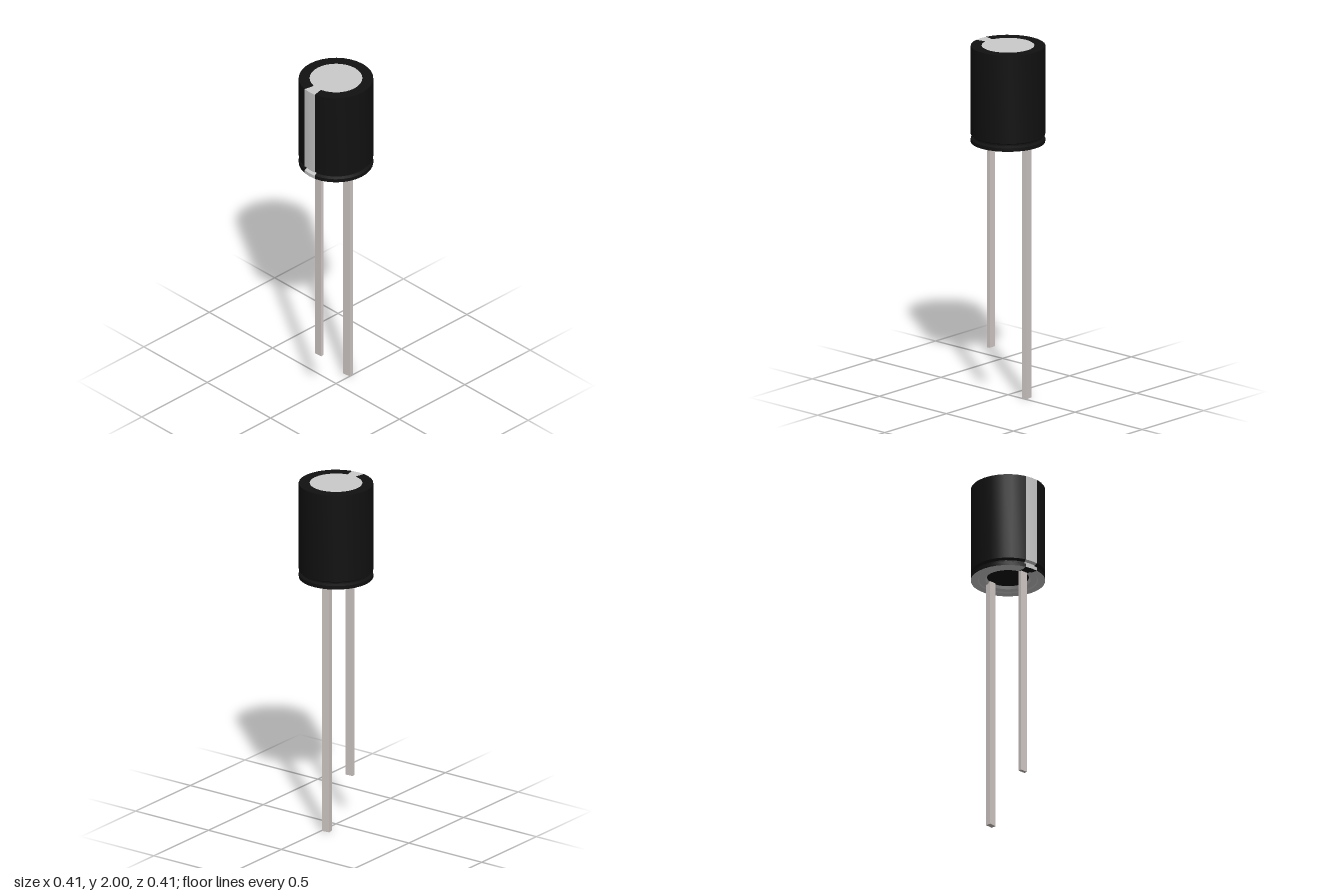
import * as THREE from 'three';
import { toCreasedNormals } from 'three/addons/utils/BufferGeometryUtils.js';

const R = 0.205, TOP = 2, BOTTOM = 1.45, CAP_R = 0.145;
const SEG = (Math.PI * 2) / 32; // one facet of the can

const black = new THREE.MeshStandardMaterial({ color: 0x111111 });
const grey = new THREE.MeshStandardMaterial({ color: 0xcccccc });
const leadMetal = new THREE.MeshStandardMaterial({ color: 0xd3cbc8 });

// Turned part covering `count` facets starting at facet `first`
function turned(name, profile, material, first = 0, count = 32) {
  const points = profile.map(([r, y]) => new THREE.Vector2(r, y));
  const lathe = new THREE.LatheGeometry(points, count, first * SEG, count * SEG);
  const mesh = new THREE.Mesh(toCreasedNormals(lathe, 0.5), material);
  mesh.name = name;
  return mesh;
}

// Flat wire running from y = bottom up into the can
function lead(name, x, z, bottom, thickness, width, turn) {
  const height = 1.48 - bottom;
  const mesh = new THREE.Mesh(new THREE.BoxGeometry(thickness, height, width), leadMetal);
  mesh.position.set(x, bottom + height / 2, z);
  mesh.rotation.y = turn;
  mesh.name = name;
  return mesh;
}

export function createModel() {
  const model = new THREE.Group();
  model.name = 'capacitor';

  // Sleeve wall with a crimped groove, folded over the top edge
  const wall = [
    [R, BOTTOM], [R, 1.47], [R - 0.016, 1.478], [R - 0.016, 1.486],
    [R, 1.495], [R, TOP], [CAP_R, TOP],
  ];
  // Underside lip, stepping up into the recess
  const lip = [[0.115, 1.47], [0.125, 1.456], [0.16, 1.456], [0.166, BOTTOM], [R, BOTTOM]];

  // The polarity stripe takes the two facets centred on -x (facets 23 and 24)
  model.add(
    turned('sleeve', wall, black, 25, 30),
    turned('polarityStripe', wall, grey, 23, 2),
    turned('undersideLip', lip, grey, 25, 30),
    turned('undersideStripe', lip, black, 23, 2),
    turned('topCap', [[CAP_R, TOP], [0, TOP]], grey),
    turned('baseSeal', [[0, 1.47], [0.115, 1.47]], black),
  );

  // Long and short leads
  model.add(
    lead('longLead', 0.117, -0.025, 0, 0.03, 0.046, 0.14),
    lead('shortLead', -0.127, 0, 0.25, 0.02, 0.045, 0.05),
  );
  return model;
}
